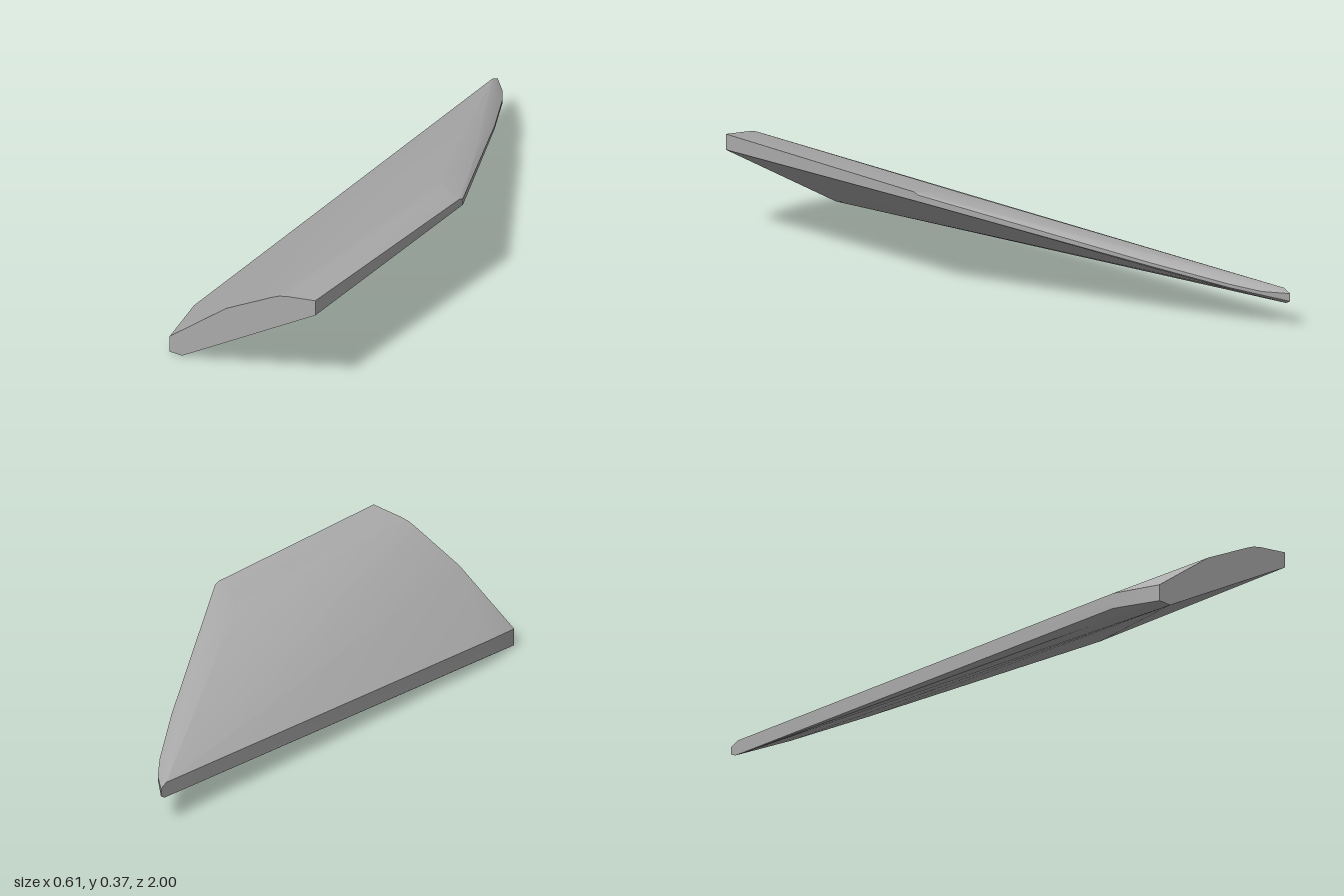
import * as THREE from 'three';
import { ConvexGeometry } from 'three/addons/geometries/ConvexGeometry.js';
import { toCreasedNormals } from 'three/addons/utils/BufferGeometryUtils.js';

export function createModel() {
  const group = new THREE.Group();
  const grey = new THREE.MeshStandardMaterial({ color: 0xaaaaaa });
  grey.name = 'panel grey';
  const points = [];
  const add = (x, y, z) => points.push(new THREE.Vector3(x, y, z));

  // Flat front end: outline of the cut face at z = 1
  [[-0.275, 0], [-0.225, 0], [0.305, 0.31], [0.305, 0.365], [0.19, 0.347],
    [0.16, 0.339], [0.13, 0.325], [-0.05, 0.23], [-0.275, 0.058]]
    .forEach(([x, y]) => add(x, y, 1));

  // Long low side, from the clipped front corner to the rounded tip
  [[0.025, 0.81], [0.08, 0.81], [0.085, -0.98], [0.095, -1], [0.122, -1], [0.136, -0.97]]
    .forEach(([y, z]) => add(-0.305, y, z));

  // Short high side, ending where the slanted edge begins
  add(0.305, 0.332, 0.12);
  add(0.305, 0.362, 0.14);
  add(0.305, 0.355, 0.12);

  // Crease on top, set in from the slanted edge
  add(0.2, 0.347, 0.08);
  add(0.15, 0.337, 0.03);

  // Slanted edge curving to the tip, with a rounded thickness
  [[0.13, -0.235], [-0.05, -0.6], [-0.18, -0.84], [-0.24, -0.93]].forEach(([x, z]) => {
    const y = 0.33 - (0.12 - z) * 0.214;
    add(x - 0.012, y + 0.002, z + 0.006);
    add(x, y + 0.012, z);
    add(x, y + 0.024, z);
    add(x - 0.015, y + 0.036, z + 0.008);
  });

  const geometry = toCreasedNormals(new ConvexGeometry(points), 0.5);
  const panel = new THREE.Mesh(geometry, grey);
  panel.name = 'wingPanel';
  group.add(panel);
  return group;
}
